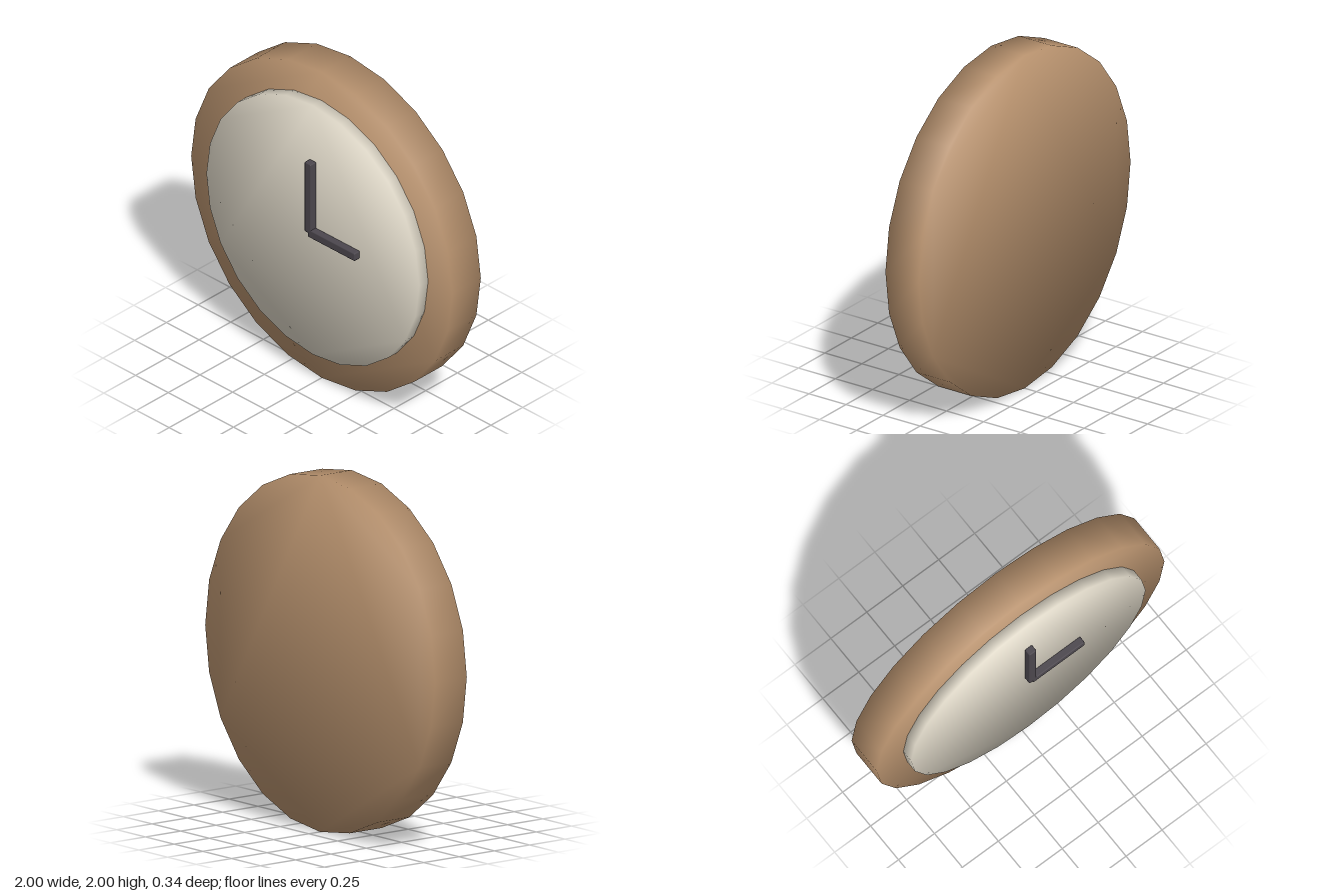
import * as THREE from 'three';
import { mergeVertices } from 'three/addons/utils/BufferGeometryUtils.js';
import { RoundedBoxGeometry } from 'three/addons/geometries/RoundedBoxGeometry.js';

const SIDES = 24;

// 24-sided disc from z0 to z1, with soft normals shared between rim and caps
function softDisc(radius, z0, z1) {
  const corners = Array.from({ length: SIDES }, (_, i) => {
    const a = (i / SIDES) * Math.PI * 2;
    return new THREE.Vector2(Math.cos(a) * radius, Math.sin(a) * radius);
  });
  let geo = new THREE.ExtrudeGeometry(new THREE.Shape(corners), {
    depth: z1 - z0, bevelEnabled: false,
  });
  geo.deleteAttribute('normal');
  geo.deleteAttribute('uv');
  geo = mergeVertices(geo);
  geo.computeVertexNormals();
  const pos = geo.attributes.position;
  const n = new THREE.Vector3();
  for (let i = 0; i < pos.count; i++) {
    const side = pos.getZ(i) > (z1 - z0) / 2 ? 1 : -1;
    n.set(pos.getX(i) / radius, pos.getY(i) / radius, side).normalize();
    geo.attributes.normal.setXYZ(i, n.x, n.y, n.z);
  }
  geo.translate(0, 1, z0);
  return geo;
}

export function createModel() {
  const wood = new THREE.MeshStandardMaterial({ name: 'wood', color: 0xb8926e });
  const cream = new THREE.MeshStandardMaterial({ name: 'cream', color: 0xdfd8c8 });
  const charcoal = new THREE.MeshStandardMaterial({ name: 'charcoal', color: 0x4c474e });

  const clock = new THREE.Group();
  clock.name = 'wallClock';
  const add = (name, geo, mat) => {
    const mesh = new THREE.Mesh(geo, mat);
    mesh.name = name;
    clock.add(mesh);
    return mesh;
  };

  // Body and dial
  add('frame', softDisc(1, -0.17, 0.055), wood);
  add('dial', softDisc(0.815, 0.05, 0.125), cream);

  // Hands, slightly bevelled
  const hand = (w, h) => new RoundedBoxGeometry(w, h, 0.045, 1, 0.007);
  add('minuteHand', hand(0.05, 0.455), charcoal).position.set(0, 1.2275, 0.145);
  add('hourHand', hand(0.36, 0.05), charcoal).position.set(0.18, 1, 0.145);

  return clock;
}
